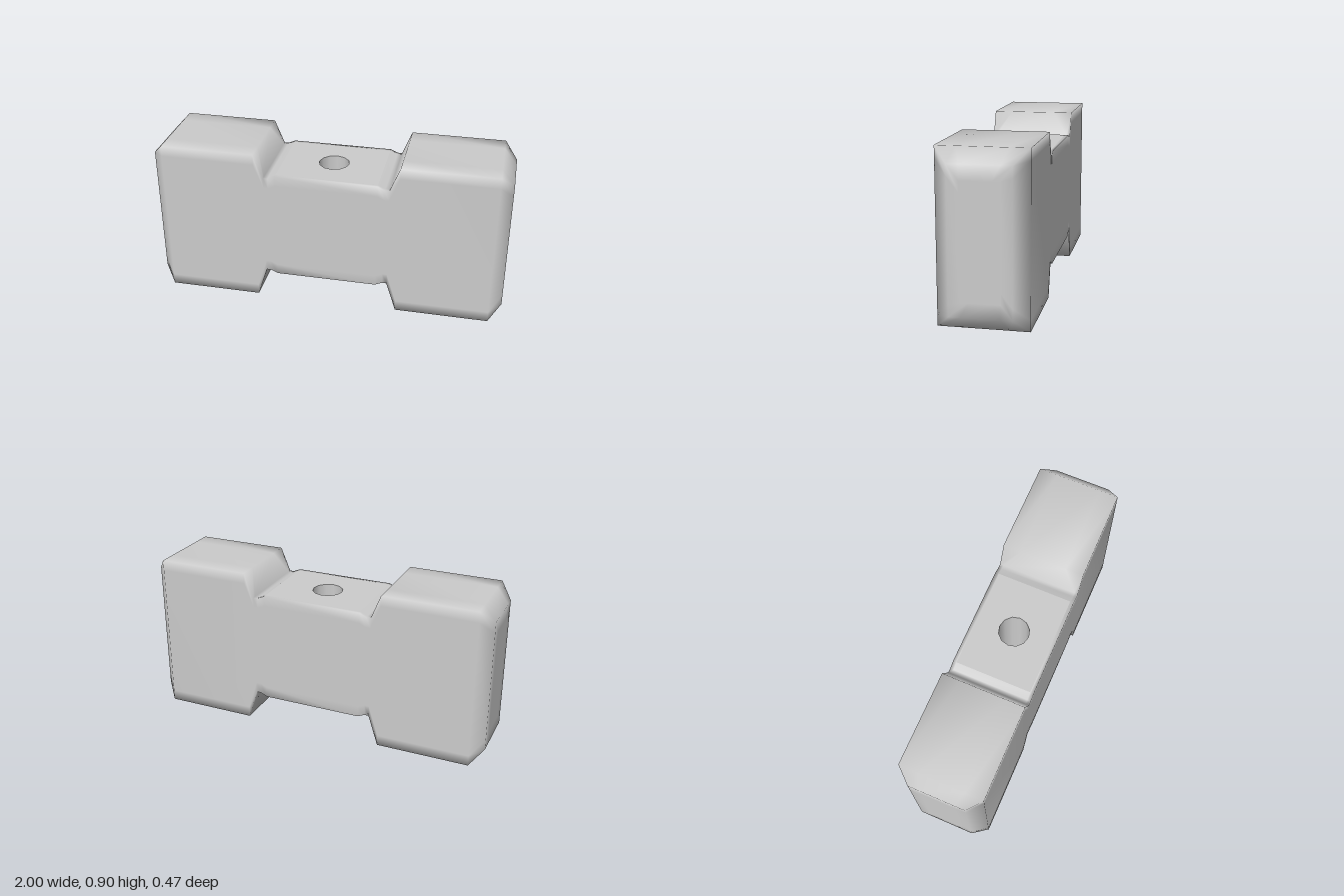
import * as THREE from 'three';

const HALF_Z = 0.235, HOLE_R = 0.085, PANEL_X = 0.285, PANEL_Z = 0.215;
const WAIST_Y = 0.472, WAIST_H = 0.315, MID_Y = 0.4525;

// Stations of one half, from the waist outwards:
// [x, centre y, half height, half depth, half width of the top strip]
const HALF = [
  [PANEL_X, WAIST_Y, WAIST_H, HALF_Z, PANEL_Z],
  [0.325, WAIST_Y, 0.297, HALF_Z, PANEL_Z],   // shallow groove
  [0.35, WAIST_Y, 0.297, HALF_Z, PANEL_Z],
  [0.405, MID_Y, 0.4525, HALF_Z, 0.13],       // shoulder of the end block
  [0.93, MID_Y, 0.4525, HALF_Z, 0.13],
  [1.0, MID_Y, 0.377, 0.16, 0.1],             // chamfered end
  [1.0, MID_Y, 0.3, 0.1, 0.06],
];

// Rectangle with extra points beside the corners to keep the faces flat
function section([x, c, h, w, t]) {
  const s = 0.06;
  const side = [[t, h], [w, h], [w, h - s], [w, s - h], [w, -h], [t, -h]];
  const mirrored = side.map(([z, y]) => [-z, y]).reverse();
  return [...side, ...mirrored].map(([z, y]) => [x, c + y, z]);
}

function bodyGeometry() {
  const left = HALF.map(([x, ...rest]) => [-x, ...rest]).reverse();
  const stations = [...left, ...HALF];
  const n = 12, last = stations.length - 1, waist = HALF.length - 1;
  const pos = stations.flatMap(section).flat();
  const index = [];
  for (let i = 0; i < last; i++) {
    for (let j = 0; j < n; j++) {
      // the pierced panels fill the top and bottom of the waist
      if (i === waist && (j === 5 || j === 11)) continue;
      const k = (j + 1) % n;
      const a = i * n + j, b = i * n + k;
      index.push(a, b, b + n, a, b + n, a + n);
    }
  }
  // end caps
  const c0 = pos.length / 3;
  pos.push(-1, MID_Y, 0, 1, MID_Y, 0);
  for (let j = 0; j < n; j++) {
    const k = (j + 1) % n;
    index.push(c0, k, j, c0 + 1, last * n + j, last * n + k);
  }
  const g = new THREE.BufferGeometry();
  g.setAttribute('position', new THREE.Float32BufferAttribute(pos, 3));
  g.setIndex(index);
  g.computeVertexNormals();
  return g;
}

// Flat panel with the round hole
function panelGeometry() {
  const shape = new THREE.Shape();
  shape.moveTo(-PANEL_X, -PANEL_Z);
  shape.lineTo(PANEL_X, -PANEL_Z);
  shape.lineTo(PANEL_X, PANEL_Z);
  shape.lineTo(-PANEL_X, PANEL_Z);
  shape.closePath();
  const hole = [];
  for (let i = 0; i < 12; i++) {
    const a = -i * Math.PI / 6;
    hole.push(new THREE.Vector2(HOLE_R * Math.cos(a), HOLE_R * Math.sin(a)));
  }
  shape.holes.push(new THREE.Path(hole));
  return new THREE.ShapeGeometry(shape);
}

export function createModel() {
  const group = new THREE.Group();
  group.name = 'hammerHead';
  const material = new THREE.MeshStandardMaterial({ color: 0xcccccc });
  const add = (name, geometry, mat = material) => {
    const mesh = new THREE.Mesh(geometry, mat);
    mesh.name = name;
    group.add(mesh);
    return mesh;
  };

  add('body', bodyGeometry());

  for (const [name, s] of [['topPanel', 1], ['bottomPanel', -1]]) {
    const panel = add(name, panelGeometry());
    panel.rotation.x = -s * Math.PI / 2;
    panel.position.y = WAIST_Y + s * WAIST_H;
  }

  // wall of the handle hole, seen from inside
  const inside = new THREE.MeshStandardMaterial({ color: 0xcccccc, side: THREE.DoubleSide });
  const wall = new THREE.CylinderGeometry(HOLE_R, HOLE_R, WAIST_H * 2, 12, 1, true);
  add('handleHole', wall, inside).position.y = WAIST_Y;

  return group;
}
